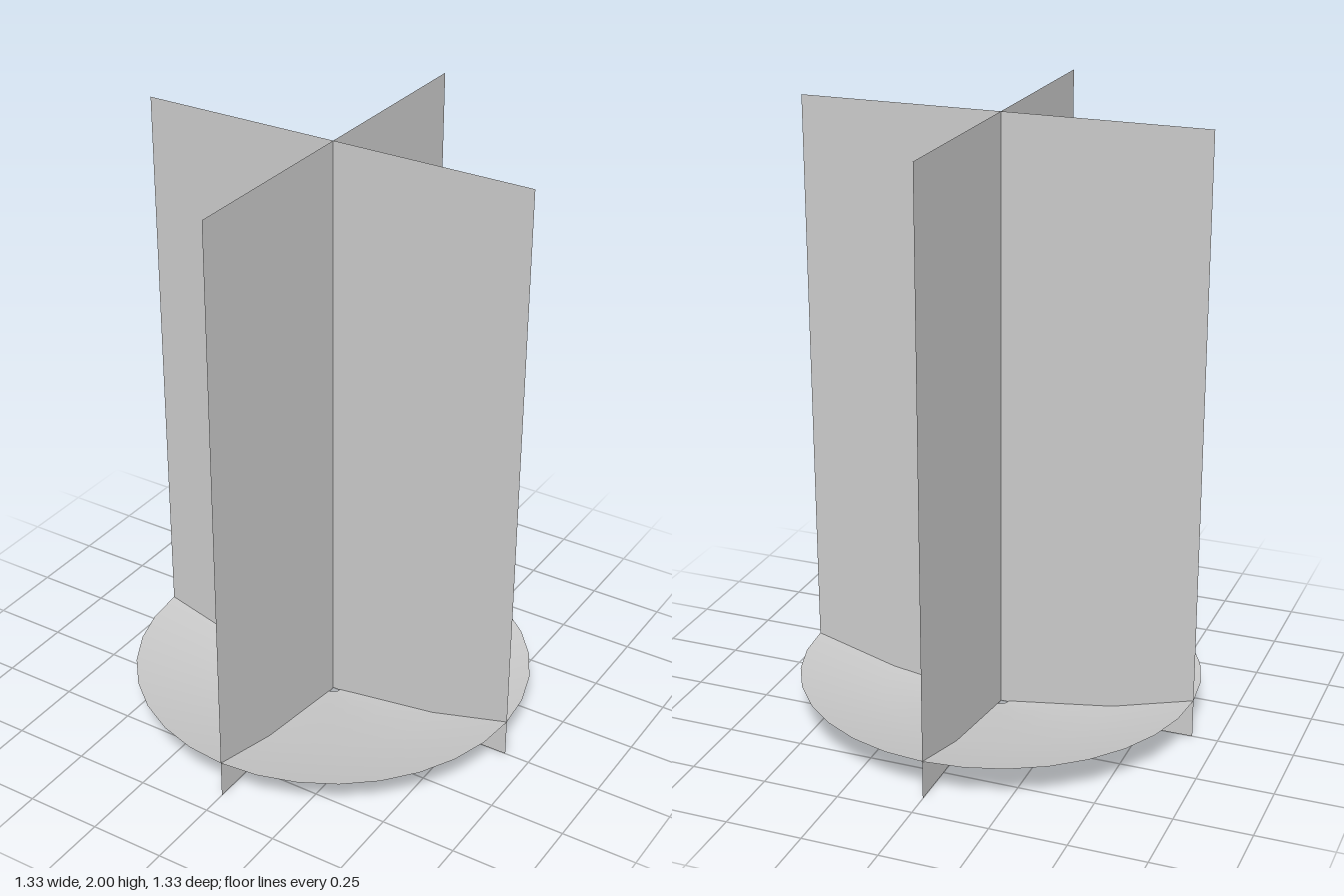
import * as THREE from 'three';

const RADIUS = 0.665;
const HEIGHT = 2;

export function createModel() {
  const group = new THREE.Group();
  const material = new THREE.MeshStandardMaterial({ color: 0xcccccc, side: THREE.DoubleSide });

  // Two thin upright panels crossing at the centre
  ['crossPanelFront', 'crossPanelSide'].forEach((name, i) => {
    const panel = new THREE.Mesh(new THREE.PlaneGeometry(2 * RADIUS, HEIGHT), material);
    panel.name = name;
    panel.position.y = HEIGHT / 2;
    panel.rotation.y = i * Math.PI / 2;
    group.add(panel);
  });

  // Shallow open dish with a small hole in the middle
  const profile = [[0.028, 0.003], [0.39, 0.055], [RADIUS, 0.13]]
    .map(([r, y]) => new THREE.Vector2(r, y));
  const dish = new THREE.Mesh(new THREE.LatheGeometry(profile, 32), material);
  dish.name = 'dish';
  group.add(dish);

  return group;
}
